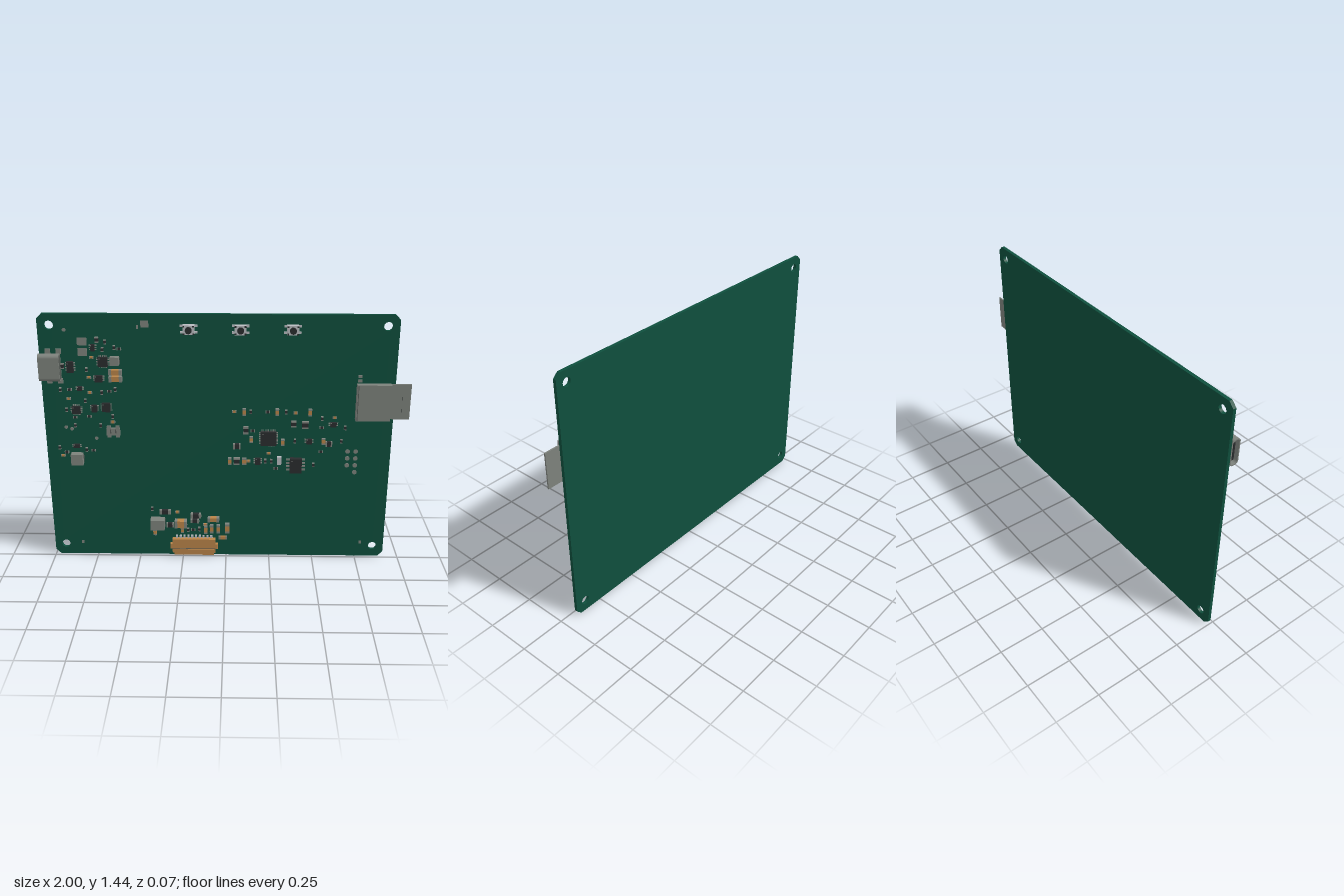
import * as THREE from 'three';

const mat = (name, color, side = THREE.FrontSide) => {
  const m = new THREE.MeshStandardMaterial({ color, side });
  m.name = name;
  return m;
};

export function createModel() {
  const green = mat('board green', 0x0f4f3d);
  const metal = mat('tinned metal', 0x7d827c, THREE.DoubleSide);
  const dark = mat('black resin', 0x2a2c2e);
  const tan = mat('tan ceramic', 0xb98449);
  const pale = mat('pale metal', 0xb9bcc0);
  const shade = mat('dark steel', 0x555a56);

  const model = new THREE.Group();
  const FACE = -0.018; // front surface of the board

  function group(name, x = 0, y = 0) {
    const g = new THREE.Group();
    g.name = name;
    g.position.set(x, y, FACE);
    model.add(g);
    return g;
  }
  function box(parent, name, m, x, y, w, h, d, z = 0) {
    const b = new THREE.Mesh(new THREE.BoxGeometry(w, h, d), m);
    b.name = name;
    b.position.set(x, y, z + d / 2);
    parent.add(b);
    return b;
  }
  function disc(parent, name, m, x, y, r, d, z = 0) {
    const c = new THREE.Mesh(new THREE.CylinderGeometry(r, r, d, 20), m);
    c.name = name;
    c.rotation.x = Math.PI / 2;
    c.position.set(x, y, z + d / 2);
    parent.add(c);
  }

  // Two-ended chip part: body with metal end caps along its long side
  function passive(name, m, x, y, w, h, d) {
    const g = group(name, x, y);
    const wide = w >= h, cap = Math.max(w, h) * 0.22;
    const bw = wide ? w - 2 * cap : w * 0.96, bh = wide ? h * 0.96 : h - 2 * cap;
    box(g, 'body', m, 0, 0, bw, bh, d * 0.97);
    for (const s of [-1, 1]) {
      const o = s * (Math.max(w, h) - cap) / 2;
      box(g, 'endCap', metal, wide ? o : 0, wide ? 0 : o, wide ? cap : w, wide ? h : cap, d);
    }
  }
  // Leaded chip: dark body, n leads on the left and right, optionally on all sides
  function chip(x, y, w, h, d, n, allSides = false, lead = 0.009) {
    const g = group('chip', x, y);
    box(g, 'body', dark, 0, 0, w, h, d - 0.002, 0.002);
    for (let i = 0; i < n; i++) {
      const t = ((i + 0.5) / n - 0.5) * 0.92;
      for (const s of [-1, 1]) {
        box(g, 'lead', metal, s * (w + lead) / 2, t * h, lead, h / n * 0.45, 0.005);
        if (allSides) box(g, 'lead', metal, t * w, s * (h + lead) / 2, w / n * 0.45, lead, 0.005);
      }
    }
    disc(g, 'pinMark', metal, -w * 0.34, h * 0.34, 0.003, 0.0006, d);
  }

  // Circuit board with clipped corners and four mounting holes
  const L = -1, R = 0.915, T = 1.44, C = 0.028;
  const outline = new THREE.Shape([[L + C, 0], [R - C, 0], [R, C], [R, T - C], [R - C, T], [L + C, T], [L, T - C], [L, C]]
    .map(([x, y]) => new THREE.Vector2(x, y)));
  for (const x of [-0.937, 0.853]) for (const y of [0.066, 1.377]) {
    outline.holes.push(new THREE.Path().absarc(x, y, 0.024, 0, Math.PI * 2, true));
  }
  const board = new THREE.Mesh(new THREE.ExtrudeGeometry(outline, { depth: 0.018, bevelEnabled: false, curveSegments: 24 }), green);
  board.name = 'circuitBoard';
  board.position.z = -0.036;
  model.add(board);

  // Rounded port shell, open towards -x
  const port = group('portShell', 0, 1.153);
  const slot = (Cls, w, h, r) => {
    const s = new Cls(), a = w / 2, b = h / 2;
    s.absarc(a - r, b - r, r, 0, Math.PI / 2);
    s.absarc(r - a, b - r, r, Math.PI / 2, Math.PI);
    s.absarc(r - a, r - b, r, Math.PI, Math.PI * 1.5);
    s.absarc(a - r, r - b, r, Math.PI * 1.5, Math.PI * 2);
    s.closePath();
    return s;
  };
  const shellShape = slot(THREE.Shape, 0.15, 0.052, 0.02);
  shellShape.holes.push(slot(THREE.Path, 0.138, 0.04, 0.015));
  const extrudeX = (shape, name, m, x, depth) => {
    const e = new THREE.Mesh(new THREE.ExtrudeGeometry(shape, { depth, bevelEnabled: false, curveSegments: 8 }), m);
    e.name = name;
    e.rotation.y = Math.PI / 2;
    e.rotation.z = Math.PI / 2;
    e.rotation.order = 'YZX';
    const turn = new THREE.Matrix4().makeBasis(new THREE.Vector3(0, 1, 0), new THREE.Vector3(0, 0, 1), new THREE.Vector3(1, 0, 0));
    e.rotation.setFromRotationMatrix(turn);
    e.position.set(x, 0, 0.028);
    port.add(e);
  };
  extrudeX(shellShape, 'shell', metal, -1, 0.113);
  extrudeX(slot(THREE.Shape, 0.14, 0.042, 0.016), 'rearWall', shade, -0.91, 0.022);
  box(port, 'tongue', dark, -0.95, 0, 0.08, 0.1, 0.01, 0.023);
  for (const x of [-0.953, -0.895]) for (const s of [-1, 1]) box(port, 'shellTab', metal, x, s * 0.083, 0.028, 0.028, 0.008);

  // Card socket with a card standing out past the board edge
  const socket = group('cardSocket', 0, 0.961);
  box(socket, 'cover', metal, 0.798, 0, 0.185, 0.205, 0.04);
  box(socket, 'seam', shade, 0.712, 0, 0.004, 0.2, 0.001, 0.04);
  box(socket, 'card', metal, 0.94, 0, 0.12, 0.2, 0.008, 0.002);
  for (const y of [-0.05, 0.02]) box(socket, 'cardMark', shade, 0.955, y, 0.005, 0.02, 0.001, 0.01);
  for (const y of [0.115, 0.14]) box(socket, 'pad', metal, 0.722, y, 0.022, 0.016, 0.003);

  // Push buttons along the top edge
  for (const x of [-0.197, 0.077, 0.352]) {
    const g = group('pushButton', x, 1.36);
    box(g, 'base', pale, 0, 0, 0.062, 0.05, 0.032);
    for (const sx of [-1, 1]) for (const sy of [-1, 1]) {
      box(g, 'leg', pale, sx * 0.038, sy * 0.018, 0.016, 0.012, 0.008);
      box(g, 'cornerPlate', dark, sx * 0.026, sy * 0.02, 0.01, 0.009, 0.001, 0.032);
    }
    disc(g, 'plunger', dark, 0, 0, 0.018, 0.044);
  }

  // Ribbon connector on the bottom edge
  const conn = group('ribbonConnector', -0.186, 0.063);
  box(conn, 'body', tan, 0, 0.006, 0.25, 0.088, 0.03);
  box(conn, 'latch', tan, 0, -0.03, 0.23, 0.036, 0.034);
  box(conn, 'groove', shade, 0, -0.009, 0.25, 0.003, 0.001, 0.03);
  for (const s of [-1, 1]) box(conn, 'sideLug', tan, s * 0.13, 0, 0.016, 0.03, 0.022);
  for (let i = 0; i < 10; i++) box(conn, 'pin', pale, -0.1 + i * 0.0222, 0.057, 0.012, 0.018, 0.01);

  // Leaded chips: x, y, w, h, depth, leads per side, leads on all sides
  for (const c of [
    [0.235, 0.743, 0.088, 0.08, 0.02, 9, true], [0.39, 0.583, 0.066, 0.088, 0.03, 4, false, 0.02],
    [-0.66, 1.18, 0.052, 0.052, 0.018, 5, true], [-0.837, 1.15, 0.036, 0.06, 0.018, 4],
    [-0.687, 1.085, 0.042, 0.036, 0.018, 3], [-0.71, 1.257, 0.022, 0.038, 0.016, 3],
    [-0.82, 0.904, 0.046, 0.044, 0.016, 4, true], [-0.655, 0.92, 0.044, 0.05, 0.018, 4],
    [-0.72, 0.914, 0.03, 0.04, 0.018, 3], [-0.832, 0.69, 0.034, 0.022, 0.014, 2],
    [-0.794, 1.027, 0.026, 0.024, 0.014, 2], [0.178, 0.604, 0.03, 0.04, 0.018, 3],
    [0.46, 0.727, 0.03, 0.03, 0.016, 3], [0.59, 0.827, 0.034, 0.026, 0.016, 3],
  ]) chip(...c);

  // Inductors and metal cans
  for (const [x, y, w, h, d] of [
    [-0.393, 0.214, 0.08, 0.062, 0.05], [-0.832, 0.615, 0.066, 0.066, 0.036], [-0.596, 1.187, 0.048, 0.046, 0.034],
  ]) {
    const g = group('inductor', x, y);
    box(g, 'body', metal, 0, 0, w, h, d);
    box(g, 'foot', shade, 0, 0, w + 0.006, h * 0.7, 0.006);
  }
  const coil = group('shieldedCoil', -0.623, 0.777);
  box(coil, 'body', metal, 0, 0, 0.074, 0.042, 0.016);
  for (const s of [-1, 1]) {
    box(coil, 'clip', metal, s * 0.024, 0, 0.022, 0.068, 0.012);
    box(coil, 'window', shade, s * 0.014, 0.004, 0.006, 0.022, 0.001, 0.016);
  }
  box(group('crystal', 0.297, 0.61), 'can', pale, 0, 0, 0.024, 0.048, 0.02);

  // Ceramic capacitors: x, y, w, h, depth
  for (const [x, y, w, h, d] of [
    [-0.596, 1.123, 0.072, 0.03, 0.026], [-0.596, 1.085, 0.072, 0.03, 0.026],
    [0.1, 0.898, 0.02, 0.04, 0.018], [0.28, 0.898, 0.02, 0.04, 0.018], [0.46, 0.898, 0.02, 0.04, 0.018],
    [0.315, 0.72, 0.02, 0.036, 0.016], [0.14, 0.735, 0.02, 0.036, 0.016], [0.54, 0.727, 0.02, 0.036, 0.016],
    [0.102, 0.604, 0.024, 0.04, 0.018], [0.022, 0.604, 0.02, 0.04, 0.016],
    [-0.26, 0.214, 0.07, 0.044, 0.042], [-0.072, 0.24, 0.066, 0.026, 0.03],
    [-0.118, 0.17, 0.02, 0.05, 0.02], [-0.083, 0.175, 0.022, 0.05, 0.02], [-0.045, 0.175, 0.022, 0.05, 0.02],
    [0.008, 0.182, 0.026, 0.058, 0.026], [-0.413, 0.15, 0.02, 0.036, 0.016],
    [-0.018, 0.117, 0.05, 0.018, 0.016], [-0.253, 0.163, 0.018, 0.03, 0.014],
  ]) passive('capacitor', tan, x, y, w, h, d);

  // Diodes and larger resistors
  for (const [x, y, w, h, d] of [
    [-0.35, 0.283, 0.064, 0.026, 0.022], [-0.173, 0.262, 0.06, 0.028, 0.026], [-0.18, 0.224, 0.05, 0.022, 0.016],
    [-0.323, 0.198, 0.044, 0.026, 0.018], [0.372, 0.829, 0.028, 0.036, 0.016], [0.436, 0.824, 0.036, 0.042, 0.018],
    [0.11, 0.791, 0.03, 0.042, 0.018], [0.06, 0.695, 0.04, 0.03, 0.018], [0.06, 0.604, 0.034, 0.042, 0.018],
    [0.57, 0.711, 0.036, 0.03, 0.016], [-0.687, 1.3, 0.02, 0.03, 0.014], [-0.88, 1.155, 0.018, 0.03, 0.014],
  ]) passive('diode', dark, x, y, w, h, d);

  // Tiny resistors, alternating direction
  const tiny = [
    [-0.9, 1.02], [-0.85, 1.02], [-0.768, 0.957], [-0.74, 1.005], [-0.676, 1.005], [-0.634, 1.012], [-0.602, 1.022],
    [-0.858, 0.968], [-0.874, 0.904], [-0.751, 0.866], [-0.692, 0.813], [-0.623, 0.834], [-0.623, 0.866],
    [-0.89, 0.652], [-0.928, 0.68], [-0.912, 0.631], [-0.778, 0.668], [-0.74, 0.663], [-0.751, 1.134], [-0.74, 1.091],
    [-0.644, 1.289], [-0.57, 1.251], [-0.66, 1.246], [-0.72, 1.203], [-0.596, 1.257], [-0.83, 0.86], [-0.832, 0.813],
    [0.045, 0.898], [0.136, 0.898], [0.227, 0.898], [0.329, 0.898], [0.382, 0.893], [0.527, 0.861], [0.527, 0.807],
    [0.655, 0.807], [0.596, 0.866], [0.639, 0.727], [0.527, 0.663], [0.382, 0.727], [0.238, 0.652], [0.254, 0.604],
    [0.147, 0.786], [0.489, 0.583], [0.126, 0.604], [0.22, 0.604], [0.28, 0.56], [-0.425, 0.3], [-0.28, 0.28],
    [-0.22, 0.165], [-0.19, 0.165], [-0.155, 0.17], [-0.12, 0.2],
  ];
  tiny.forEach(([x, y], i) => passive('resistor', i % 4 === 3 ? tan : dark, x, y, i % 2 ? 0.024 : 0.013, i % 2 ? 0.013 : 0.024, 0.011));

  // Bare pads and test points
  for (const [x, y, w, h] of [
    [-0.767, 1.29, 0.052, 0.042], [-0.767, 1.232, 0.05, 0.042], [-0.43, 1.385, 0.042, 0.038],
    [-0.838, 0.08, 0.014, 0.018], [0.78, 0.092, 0.014, 0.018], [-0.468, 1.37, 0.01, 0.02],
  ]) box(group('pad', x, y), 'pad', metal, 0, 0, w, h, 0.004);
  const points = group('testPoints');
  for (let i = 0; i < 4; i++) for (const x of [0.677, 0.722]) {
    if (i < 3 || x > 0.7) disc(points, 'testPoint', metal, x, 0.664 - i * 0.042, 0.013, 0.003);
  }
  for (const [x, y] of [[-0.858, 1.352], [-0.885, 0.8], [-0.853, 0.79], [-0.72, 0.735]]) disc(points, 'testPoint', metal, x, y, 0.01, 0.003);

  return model;
}
